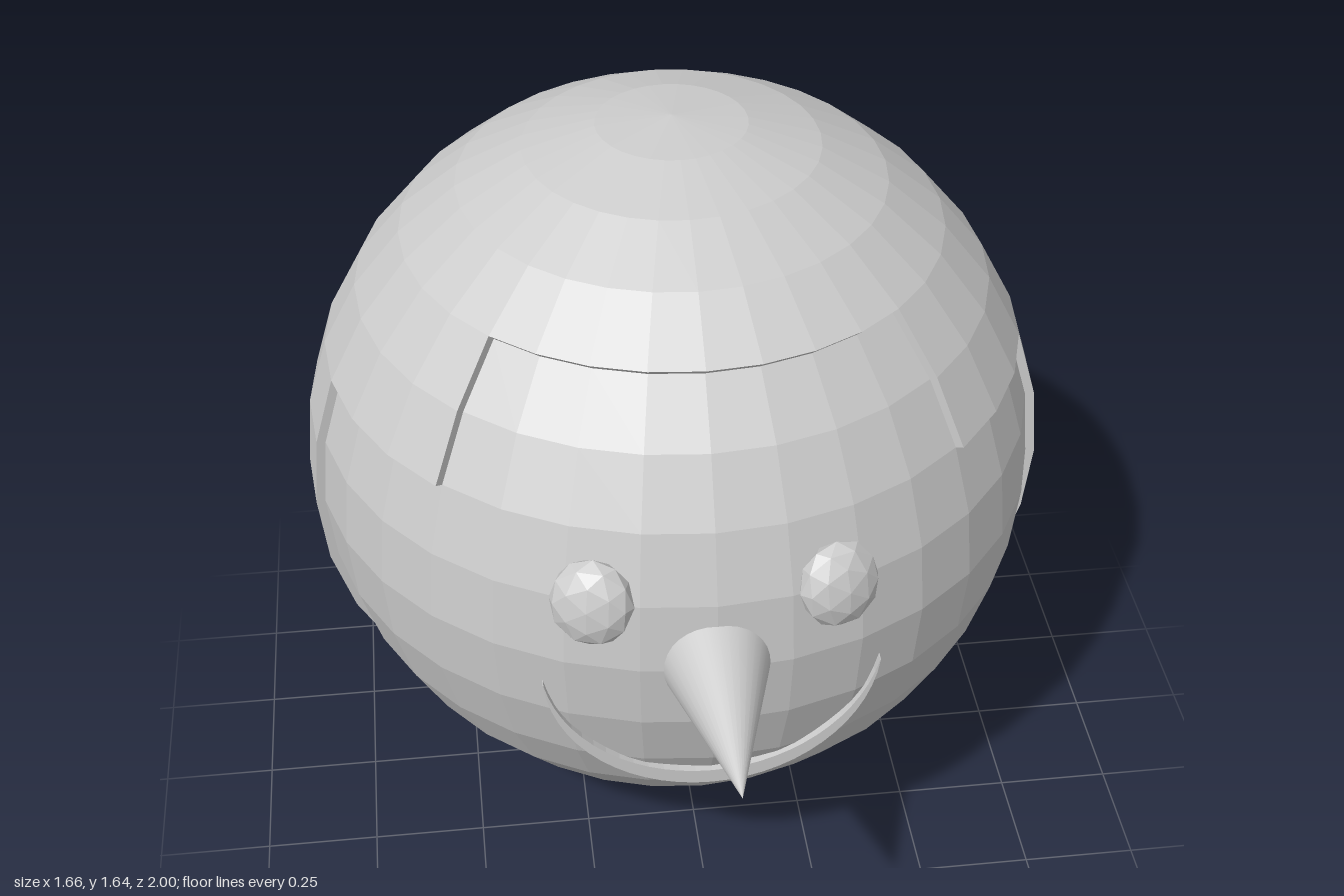
import * as THREE from 'three';

const CENTRE = new THREE.Vector3(0, 0.815, -0.17);
const HEAD_R = 0.81, HAIR_R = 0.83;
const ROWS = 16, COLS = 32;

const material = new THREE.MeshStandardMaterial({ color: 0xcccccc, flatShading: true });
const smooth = new THREE.MeshStandardMaterial({ color: 0xcccccc });

function add(parent, name, geometry, mat = material) {
  const mesh = new THREE.Mesh(geometry, mat);
  mesh.name = name;
  parent.add(mesh);
  return mesh;
}

// Point on a sphere: row counts down from the pole, column turns from front (+z) to +x
function spherePoint(r, row, col) {
  const t = (row / ROWS) * Math.PI, p = (col / COLS) * Math.PI * 2;
  return [r * Math.sin(t) * Math.sin(p), r * Math.cos(t), r * Math.sin(t) * Math.cos(p)];
}

// Which cells of the sphere grid are covered by hair: full crown, stepped temples, back
function isHair(row, col) {
  if (row < 0) return true;
  const c = (col + COLS) % COLS;
  const fromFront = Math.min(c, COLS - 1 - c);
  if (row < 4) return true;
  if (row < 6) return fromFront >= 4;
  return row < 11 && fromFront >= 7;
}

// Hair shell: outer faces plus rim walls wherever the neighbouring cell is bare
function hairGeometry() {
  const pos = [];
  const quad = (a, b, c, d) => pos.push(...a, ...b, ...c, ...a, ...c, ...d);
  const outer = (r, c) => spherePoint(HAIR_R, r, c);
  const inner = (r, c) => spherePoint(HEAD_R - 0.01, r, c);
  const wall = (r0, c0, r1, c1) =>
    quad(outer(r0, c0), inner(r0, c0), inner(r1, c1), outer(r1, c1));
  for (let r = 0; r < ROWS; r++) {
    for (let c = 0; c < COLS; c++) {
      if (!isHair(r, c)) continue;
      quad(outer(r, c), outer(r + 1, c), outer(r + 1, c + 1), outer(r, c + 1));
      if (!isHair(r + 1, c)) wall(r + 1, c, r + 1, c + 1);
      if (!isHair(r, c - 1)) wall(r, c, r + 1, c);
      if (!isHair(r, c + 1)) wall(r + 1, c + 1, r, c + 1);
    }
  }
  const g = new THREE.BufferGeometry();
  g.setAttribute('position', new THREE.Float32BufferAttribute(pos, 3));
  g.computeVertexNormals();
  return g;
}

// Crescent between two arcs that meet at the corners of the mouth
function smileGeometry() {
  const arc = (r, cy) => {
    const end = Math.asin((0.74 - cy) / r), pts = [];
    for (let i = 0; i <= 28; i++) {
      const a = -Math.PI - end + (i / 28) * (Math.PI + 2 * end);
      pts.push(new THREE.Vector2(r * Math.cos(a), cy + r * Math.sin(a)));
    }
    return pts;
  };
  const shape = new THREE.Shape([...arc(0.356, 0.776), ...arc(0.361, 0.816).reverse()]);
  return new THREE.ExtrudeGeometry(shape, { depth: 0.06, bevelEnabled: false });
}

export function createModel() {
  const model = new THREE.Group();
  model.name = 'cartoonHead';

  add(model, 'head', new THREE.SphereGeometry(HEAD_R, COLS, ROWS)).position.copy(CENTRE);
  const hair = add(model, 'hair', hairGeometry(),
    new THREE.MeshStandardMaterial({ color: 0xcccccc, flatShading: true, side: THREE.DoubleSide }));
  hair.position.copy(CENTRE);

  // Flattened low-poly eyes that face outward from the head
  for (const side of [1, -1]) {
    const eye = add(model, side > 0 ? 'leftEye' : 'rightEye', new THREE.IcosahedronGeometry(1, 1));
    eye.scale.set(0.088, 0.096, 0.05);
    eye.position.set(side * 0.25, 0.985, 0.595);
    eye.lookAt(eye.position.clone().multiplyScalar(2).sub(CENTRE));
  }

  // Pointed nose
  const cone = new THREE.ConeGeometry(0.115, 0.39, 32);
  cone.rotateX(Math.PI / 2);
  add(model, 'nose', cone, smooth).position.set(0, 0.815, 0.805);

  add(model, 'smile', smileGeometry()).position.z = 0.506;

  return model;
}
